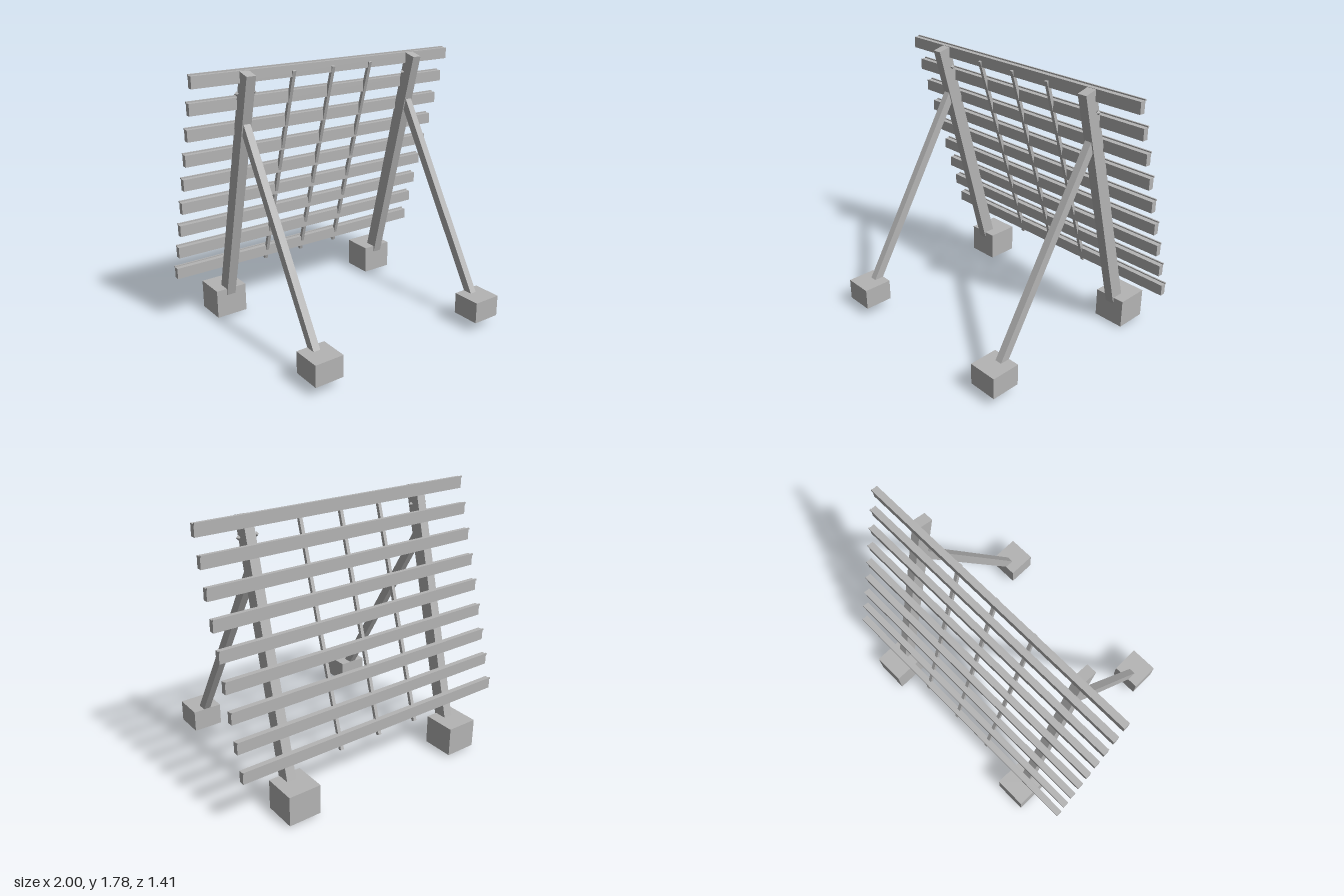
import * as THREE from 'three';

const steel = new THREE.MeshStandardMaterial({ color: 0xb4b4b4 });
steel.name = 'grey';

export function createModel() {
  const group = new THREE.Group();
  group.name = 'slattedFence';

  const add = (name, geometry, x, y, z) => {
    const mesh = new THREE.Mesh(geometry, steel);
    mesh.name = name;
    mesh.position.set(x, y, z);
    group.add(mesh);
    return mesh;
  };
  const box = (name, w, h, d, x, y, z) => add(name, new THREE.BoxGeometry(w, h, d), x, y, z);

  // Square beam leaning in the yz plane, between two [y, z] end points
  const beam = (name, w, d, x, [y0, z0], [y1, z1]) => {
    const length = Math.hypot(y1 - y0, z1 - z0);
    const mesh = box(name, w, length, d, x, (y0 + y1) / 2, (z0 + z1) / 2);
    mesh.rotation.x = Math.atan2(z1 - z0, y1 - y0);
  };

  // Supports: leaning post, brace, footings and bolts on each side
  for (const [side, s] of [['left', 1], ['right', -1]]) {
    beam(side + 'Post', 0.065, 0.092, s * 0.65, [0.011, -0.572], [1.762, -0.118]);
    beam(side + 'Brace', 0.048, 0.057, s * 0.65, [0.064, 0.634], [1.446, -0.186]);
    box(side + 'FrontFooting', 0.2, 0.147, 0.2, s * 0.65, 0.142, 0.608);
    box(side + 'BackFooting', 0.222, 0.2, 0.222, s * 0.648, 0.115, -0.595);
    for (const dx of [-0.06, 0.06]) {
      add(side + 'Bolt', new THREE.OctahedronGeometry(0.016), s * 0.65 + dx, 1.64, -0.156);
    }
  }

  // Horizontal slats with a small lip along the upper back edge
  for (let i = 0; i < 9; i++) {
    const y = 0.385 + i * 0.169;
    const z = -0.583 + i * 0.0508;
    box('slat', 2, 0.075, 0.038, 0, y, z);
    box('slatLip', 2, 0.012, 0.01, 0, y + 0.039, z - 0.021);
  }

  // Thin rods tying the slats together
  for (const x of [-0.3, 0, 0.3]) {
    beam('tieRod', 0.023, 0.023, x, [0.318, -0.597], [1.74, -0.155]);
  }

  return group;
}
